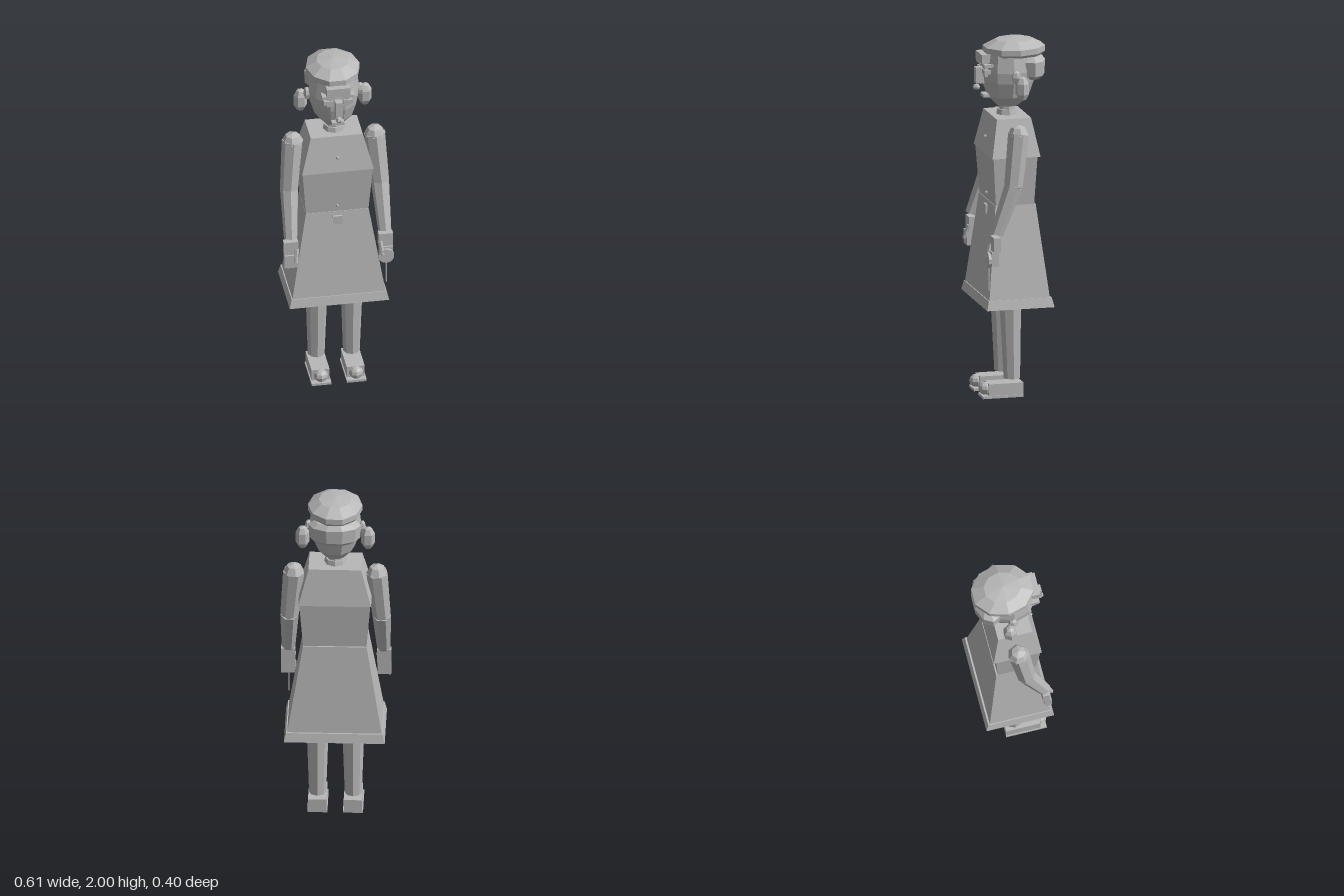
import * as THREE from 'three';

const grey = new THREE.MeshStandardMaterial({ color: 0xb8b8b8, flatShading: true });
grey.name = 'plain grey';

function add(parent, name, geometry, x = 0, y = 0, z = 0) {
  const mesh = new THREE.Mesh(geometry, grey);
  mesh.name = name;
  mesh.position.set(x, y, z);
  parent.add(mesh);
  return mesh;
}

// Box given by its extents
function block(parent, name, x0, x1, y0, y1, z0, z1) {
  return add(parent, name, new THREE.BoxGeometry(x1 - x0, y1 - y0, z1 - z0),
    (x0 + x1) / 2, (y0 + y1) / 2, (z0 + z1) / 2);
}

// Four-sided tapered block; each end is [y, halfWidth, back, front]
function taper(parent, name, low, high) {
  const geo = new THREE.BoxGeometry(2, 2, 2);
  const p = geo.attributes.position;
  for (let i = 0; i < p.count; i++) {
    const [y, w, back, front] = p.getY(i) > 0 ? high : low;
    p.setXYZ(i, Math.sign(p.getX(i)) * w, y, p.getZ(i) > 0 ? front : back);
  }
  geo.computeVertexNormals();
  return add(parent, name, geo);
}

// Faceted turned solid, profile from bottom to top, stretched in z
function turned(parent, name, profile, sides, x, y, z, sx = 1, sz = 1) {
  const points = profile.map(([r, h]) => new THREE.Vector2(r, h));
  const geo = new THREE.LatheGeometry(points, sides, Math.PI / 2);
  geo.scale(sx, 1, sz);
  return add(parent, name, geo, x, y, z);
}

// Tapered rod between two points
function limb(parent, name, a, b, ra, rb, sides) {
  const from = new THREE.Vector3(...a), to = new THREE.Vector3(...b);
  const dir = to.clone().sub(from);
  const mesh = add(parent, name, new THREE.CylinderGeometry(rb, ra, dir.length(), sides));
  mesh.position.copy(from).add(to).multiplyScalar(0.5);
  mesh.quaternion.setFromUnitVectors(new THREE.Vector3(0, 1, 0), dir.normalize());
  return mesh;
}

function ball(parent, name, x, y, z, rx, ry, rz, w = 6, h = 4) {
  const geo = new THREE.SphereGeometry(1, w, h);
  geo.scale(rx, ry, rz);
  return add(parent, name, geo, x, y, z);
}

function buildHead(model) {
  const head = new THREE.Group();
  head.name = 'head';
  model.add(head);
  turned(head, 'skull', [[0, 1.615], [0.06, 1.62], [0.108, 1.675], [0.135, 1.76],
    [0.142, 1.82], [0.13, 1.92], [0, 1.93]], 10, 0, 0, 0, 1, 1.08);
  turned(head, 'cap', [[0, 1.9], [0.138, 1.905], [0.15, 1.92], [0.15, 1.952],
    [0.09, 1.988], [0, 2.0]], 10, 0, 0, -0.034, 1, 1.16);
  turned(head, 'backHair', [[0, 1.765], [0.1, 1.77], [0.14, 1.795], [0.145, 1.875],
    [0.11, 1.9], [0, 1.9]], 10, 0, 0, -0.12, 1, 0.58);

  // Stepped face
  block(head, 'forehead', -0.066, 0.066, 1.87, 1.92, 0.09, 0.165);
  block(head, 'noseBridge', -0.02, 0.02, 1.75, 1.84, 0.1, 0.185);
  ball(head, 'noseTip', 0, 1.728, 0.178, 0.02, 0.017, 0.022);
  block(head, 'mouth', -0.034, 0.034, 1.672, 1.69, 0.1, 0.147);
  for (const s of [1, -1]) {
    const pair = (name, a, b, ...rest) =>
      block(head, name, Math.min(s * a, s * b), Math.max(s * a, s * b), ...rest);
    pair('eyebrow', 0.018, 0.09, 1.852, 1.868, 0.1, 0.156);
    pair('eye', 0.03, 0.08, 1.812, 1.836, 0.1, 0.153);
    pair('cheekStep', 0.02, 0.062, 1.795, 1.85, 0.1, 0.145);
    ball(head, 'ear', s * 0.148, 1.8, -0.01, 0.02, 0.04, 0.028);
    limb(head, 'earringHook', [s * 0.145, 1.78, -0.02], [s * 0.175, 1.79, -0.034], 0.012, 0.012, 6);
    turned(head, 'earring', [[0, -0.073], [0.022, -0.06], [0.038, -0.03], [0.038, 0.03],
      [0.022, 0.06], [0, 0.07]], 6, s * 0.18, 1.745, -0.035);
  }
  limb(head, 'neck', [0, 1.55, 0.004], [0, 1.64, 0.004], 0.05, 0.045, 8);
  limb(head, 'collar', [0, 1.565, 0.004], [0, 1.598, 0.004], 0.063, 0.056, 8);
}

function buildDress(model) {
  const dress = new THREE.Group();
  dress.name = 'dress';
  model.add(dress);
  taper(dress, 'yoke', [1.36, 0.2, -0.133, 0.14], [1.57, 0.145, -0.094, 0.1]);
  taper(dress, 'bodice', [1.06, 0.172, -0.102, 0.112], [1.362, 0.196, -0.117, 0.133]);
  taper(dress, 'skirt', [0.56, 0.262, -0.172, 0.175], [1.09, 0.175, -0.112, 0.117]);
  taper(dress, 'hem', [0.525, 0.277, -0.193, 0.19], [0.577, 0.265, -0.18, 0.178]);
  ball(dress, 'topButton', 0, 1.447, 0.128, 0.01, 0.01, 0.01);
  ball(dress, 'waistButton', 0, 1.13, 0.123, 0.009, 0.009, 0.009);
  block(dress, 'buckle', -0.026, 0.026, 1.015, 1.066, 0.11, 0.133);
}

function buildArm(model, s) {
  const arm = new THREE.Group();
  arm.name = s > 0 ? 'leftArm' : 'rightArm';
  model.add(arm);
  const shoulder = [s * 0.229, 1.505, 0], elbow = [s * 0.253, 1.215, 0.036], wrist = [s * 0.262, 0.952, 0.135];
  turned(arm, 'shoulderCap', [[0.06, -0.005], [0.04, 0.035], [0, 0.05]], 7, ...shoulder);
  limb(arm, 'upperArm', elbow, shoulder, 0.052, 0.06, 7);
  ball(arm, 'elbow', ...elbow, 0.049, 0.045, 0.049, 7, 4);
  limb(arm, 'forearm', wrist, elbow, 0.038, 0.052, 7);

  // Hand
  const cx = s * 0.264;
  block(arm, 'palm', cx - 0.04, cx + 0.04, 0.86, 0.94, 0.12, 0.16);
  block(arm, 'fingers', cx - 0.038, cx + 0.038, 0.78, 0.86, 0.13, 0.17);
  limb(arm, 'thumb', [s * 0.242, 0.82, 0.183], [s * 0.232, 0.895, 0.158], 0.012, 0.013, 6);
}

function buildLeg(model, s) {
  const leg = new THREE.Group();
  leg.name = s > 0 ? 'leftLeg' : 'rightLeg';
  model.add(leg);
  const x = s * 0.098;
  limb(leg, 'shin', [x, 0.1, 0.003], [x, 0.54, 0.012], 0.047, 0.062, 8);
  block(leg, 'shoe', x - 0.05, x + 0.05, 0.012, 0.08, -0.05, 0.145);
  block(leg, 'sole', x - 0.055, x + 0.055, 0, 0.014, -0.05, 0.18);
  ball(leg, 'toeCap', x, 0.048, 0.153, 0.04, 0.036, 0.04, 8, 6);
}

export function createModel() {
  const model = new THREE.Group();
  model.name = 'figure';
  buildHead(model);
  buildDress(model);
  for (const s of [1, -1]) {
    buildArm(model, s);
    buildLeg(model, s);
  }
  // Small round toy with a cord, held in the left hand
  const toy = new THREE.Group();
  toy.name = 'handToy';
  model.add(toy);
  const disc = add(toy, 'toyDisc', new THREE.CylinderGeometry(0.044, 0.044, 0.016, 10), 0.262, 0.81, 0.179);
  disc.rotation.x = Math.PI / 2;
  limb(toy, 'toyCord', [0.262, 0.64, 0.179], [0.262, 0.8, 0.179], 0.004, 0.004, 6);
  return model;
}
